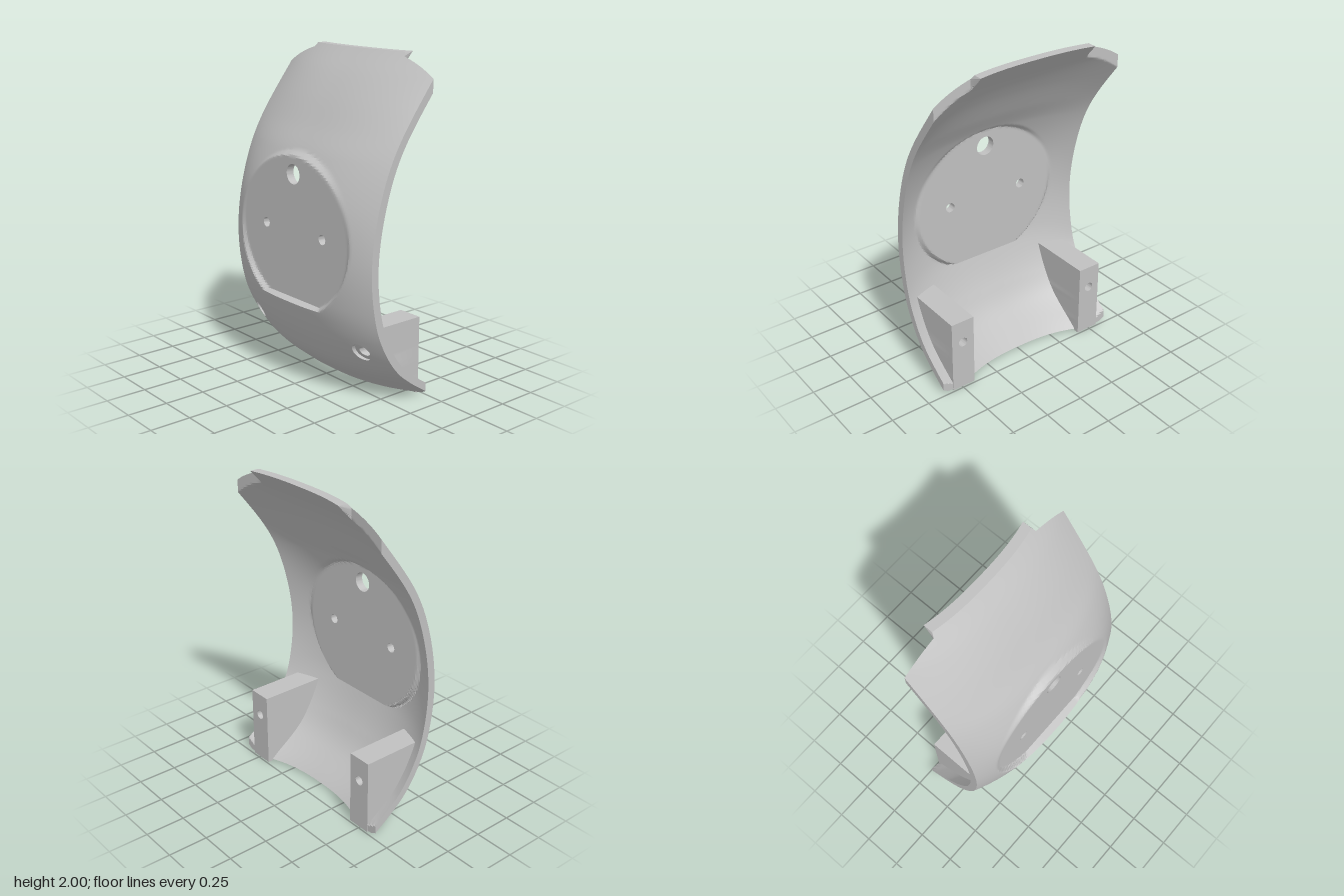
import * as THREE from 'three';
import { toCreasedNormals } from 'three/addons/utils/BufferGeometryUtils.js';

const STEP = 0.0125, COLS = 51, ROWS = 160, HALF = 0.634, BACK = -0.235, THICK = 0.043;
const DISC_Z = 0.25, TAB = 31;

// Depth profiles from bottom to top: middle of the shell and its side edges
const curve = (y, z) => {
  const c = new THREE.CubicInterpolant(y, z, 1, [0]);
  return t => c.evaluate(t)[0];
};
const middle = curve(
  [0, 0.15, 0.3, 0.5, 0.6, 0.9, 1.15, 1.42, 1.57, 1.74, 1.87, 2],
  [-0.08, 0.1, 0.2, 0.285, 0.312, 0.34, 0.315, 0.205, 0.11, 0, -0.1, -0.22]);
const edge = curve(
  [0, 0.03, 0.1, 0.2, 0.4, 0.6, 0.9, 1.25, 1.5, 1.87, 2],
  [-0.275, -0.235, -0.13, -0.01, 0.12, 0.18, 0.2, 0.135, 0.03, -0.235, -0.34]);

function dome(x, y) {
  const k = Math.pow(Math.abs(x) / HALF, 2.5);
  return middle(y) * (1 - k) + edge(y) * k;
}

// 1 inside the flat round panel, 0 outside
function panel(x, y) {
  if (y < 0.549) return 0;
  return 1 - THREE.MathUtils.smoothstep(Math.hypot(x / 0.5, (y - 0.95) / 0.47), 0.97, 1.03);
}

const limit = (x, z) => (Math.abs(x) > (TAB + 0.5) * STEP ? Math.max(z, BACK) : z);

function frontZ(x, y) {
  return limit(x, THREE.MathUtils.lerp(dome(x, y), DISC_Z, panel(x, y)));
}

function backZ(x, y) {
  const e = 0.01, y0 = Math.max(y - e, 0), y1 = Math.min(y + e, 2);
  const gx = (dome(x + e, y) - dome(x - e, y)) / (2 * e);
  const gy = (dome(x, y1) - dome(x, y0)) / (y1 - y0);
  const z = dome(x, y) - THICK * Math.sqrt(1 + gx * gx + gy * gy);
  return limit(x, THREE.MathUtils.lerp(z, DISC_Z - 0.05, panel(x, y)));
}

// Height at which the front surface meets the back plane
function meet(x, inside, outside) {
  if (dome(x, outside) > BACK) return outside;
  for (let n = 0; n < 30; n++) {
    const m = (inside + outside) / 2;
    if (dome(x, m) > BACK) inside = m; else outside = m;
  }
  return inside;
}

// Holes: centre, radius, block half size in grid steps, counterbore radius
const holes = [
  { x: 0, y: 1.3, r: 0.06, n: 7 },
  { x: 0.2625, y: 0.9625, r: 0.03, n: 4 },
  { x: -0.2625, y: 0.9625, r: 0.03, n: 4 },
  { x: 0.4875, y: 0.325, r: 0.03, n: 6, bore: 0.055 },
  { x: -0.4875, y: 0.325, r: 0.03, n: 6, bore: 0.055 },
];

function shellGeometry() {
  const pos = [];
  const quad = (a, b, c, d) => pos.push(...a, ...b, ...c, ...a, ...c, ...d);
  const strip = (P, Q) => {
    for (let k = 0; k < P.length; k++) {
      const m = (k + 1) % P.length;
      quad(P[k], P[m], Q[m], Q[k]);
    }
  };

  // Matching grids for the front and back skins
  const front = [], back = [];
  for (let i = -COLS; i <= COLS; i++) {
    const x = THREE.MathUtils.clamp(i * STEP, -HALF, HALF);
    const side = Math.abs(i) > TAB;
    const top = side ? meet(x, 1.5, 2) : 2;
    const bottom = side ? Math.max(meet(x, 0.3, 0), 0.01) : 0.01;
    const f = [], b = [];
    for (let j = 0; j <= ROWS; j++) {
      let y = j * STEP;
      if (j < 4) y = bottom + (0.05 - bottom) * j / 4;
      if (j > 136) y = 1.7 + (top - 1.7) * (j - 136) / 24;
      f.push([x, y, frontZ(x, y)]);
      b.push([x, y, backZ(x, y)]);
    }
    front.push(f);
    back.push(b);
  }

  const inHole = (x, y) => holes.some(h =>
    Math.abs(x - h.x) < h.n * STEP && Math.abs(y - h.y) < h.n * STEP);
  for (let i = 0; i < 2 * COLS; i++) {
    for (let j = 0; j < ROWS; j++) {
      if (inHole((i - COLS + 0.5) * STEP, (j + 0.5) * STEP)) continue;
      quad(front[i][j], front[i + 1][j], front[i + 1][j + 1], front[i][j + 1]);
      quad(back[i][j], back[i][j + 1], back[i + 1][j + 1], back[i + 1][j]);
    }
  }

  // Rim joining the two skins
  const loop = [];
  for (let i = 0; i < 2 * COLS; i++) loop.push([i, 0]);
  for (let j = 0; j < ROWS; j++) loop.push([2 * COLS, j]);
  for (let i = 2 * COLS; i > 0; i--) loop.push([i, ROWS]);
  for (let j = ROWS; j > 0; j--) loop.push([0, j]);
  strip(loop.map(([i, j]) => back[i][j]), loop.map(([i, j]) => front[i][j]));

  // Hole blocks: square outline in to the circle, through, and out again
  for (const h of holes) {
    const square = [];
    for (let s = 0; s < 4; s++) {
      for (let k = -h.n; k < h.n; k++) {
        const [u, v] = [[k, -h.n], [h.n, k], [-k, h.n], [-h.n, -k]][s];
        square.push([u * STEP, v * STEP]);
      }
    }
    const ring = (r, depth) => square.map(([u, v]) => {
      const s = r ? r / Math.hypot(u, v) : 1;
      const x = h.x + u * s, y = h.y + v * s;
      return [x, y, depth(x, y)];
    });
    const rings = [ring(0, frontZ)];
    const sunk = (x, y) => frontZ(x, y) - 0.025;
    if (h.bore) rings.push(ring(h.bore, frontZ), ring(h.bore, sunk), ring(h.r, sunk));
    else rings.push(ring(h.r, frontZ));
    rings.push(ring(h.r, backZ), ring(0, backZ));
    for (let k = 0; k + 1 < rings.length; k++) strip(rings[k], rings[k + 1]);
  }

  const g = new THREE.BufferGeometry();
  g.setAttribute('position', new THREE.Float32BufferAttribute(pos, 3));
  return toCreasedNormals(g, 0.5);
}

// Mounting block with a screw hole, its front end following the shell
function bracketGeometry(cx) {
  const w = 0.0775, h = 0.475, n = 16;
  const pts = [];
  for (let k = 0; k <= n; k++) pts.push(new THREE.Vector2(cx + w, h * k / n));
  for (let k = n; k >= 0; k--) pts.push(new THREE.Vector2(cx - w, h * k / n));
  const shape = new THREE.Shape(pts);
  shape.holes.push(new THREE.Path().absarc(cx, 0.325, 0.03, 0, Math.PI * 2, true));
  const g = new THREE.ExtrudeGeometry(shape, { depth: 1, bevelEnabled: false, curveSegments: 24 });
  const p = g.attributes.position;
  for (let i = 0; i < p.count; i++) {
    const z = p.getZ(i) > 0.5 ? Math.max(backZ(p.getX(i), p.getY(i)) + 0.01, BACK + 0.004) : BACK - 0.003;
    p.setZ(i, z);
  }
  return toCreasedNormals(g, 0.5);
}

export function createModel() {
  const group = new THREE.Group();
  const grey = new THREE.MeshStandardMaterial({ color: 0xc0c0c0 });
  grey.name = 'light grey';
  const add = (name, geometry) => {
    const mesh = new THREE.Mesh(geometry, grey);
    mesh.name = name;
    group.add(mesh);
  };
  add('curvedShell', shellGeometry());
  add('leftBracket', bracketGeometry(0.4875));
  add('rightBracket', bracketGeometry(-0.4875));
  return group;
}
